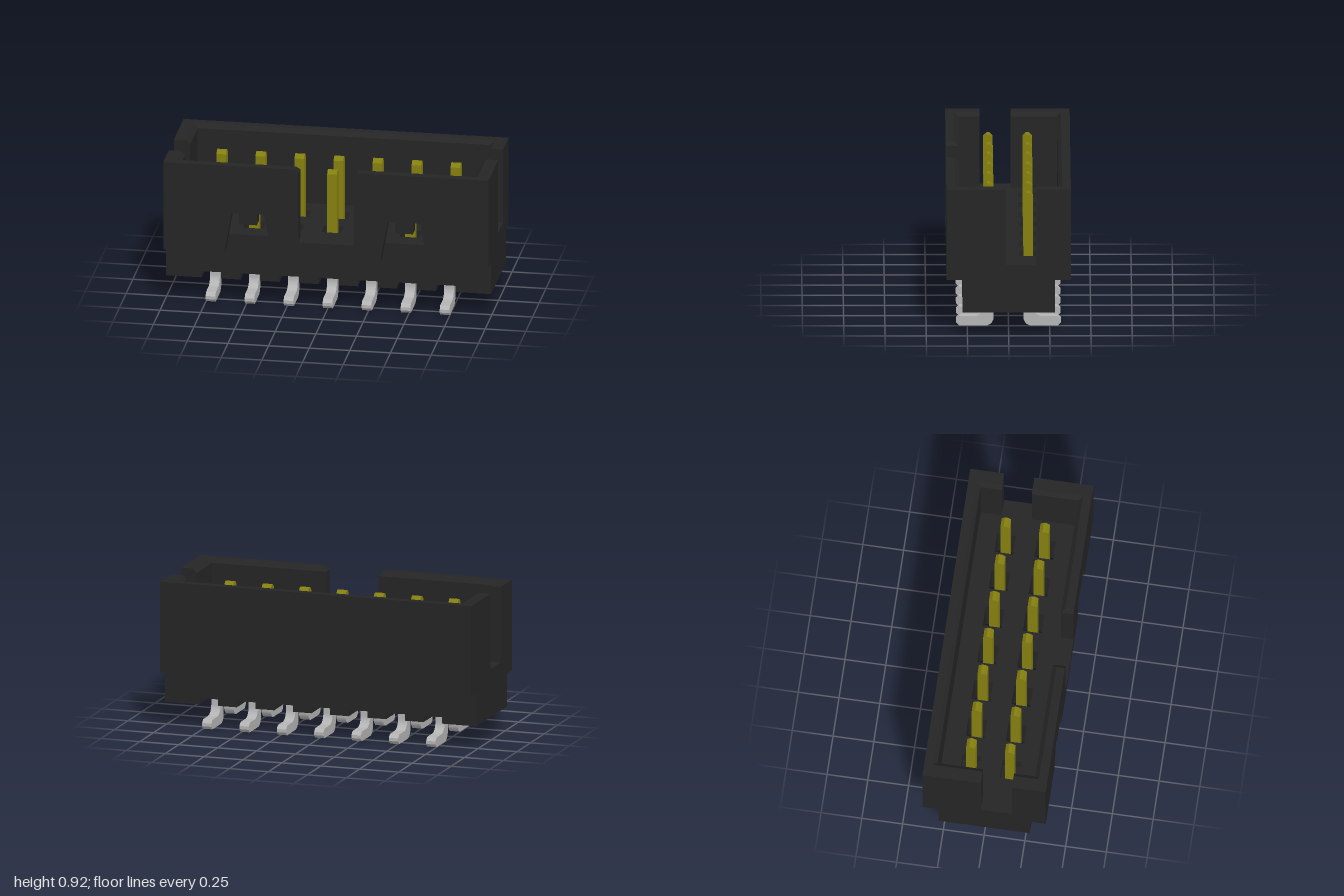
import * as THREE from 'three';

const black = new THREE.MeshStandardMaterial({ color: 0x252525 });
black.name = 'black plastic';
const gold = new THREE.MeshStandardMaterial({ color: 0x85800f });
gold.name = 'gold plating';
const tin = new THREE.MeshStandardMaterial({ color: 0xb4b4b4 });
tin.name = 'tin plating';

const TOP = 0.915, RIM = 0.89, FLOOR = 0.445, STEP = 0.35, CHANNEL = 0.185, BOTTOM = 0.145;
const OUT_Z = 0.378, IN_Z = 0.3, IN_X = 0.9, BASE_Z = 0.28, BEVEL = 0.025;
const columns = Array.from({ length: 7 }, (_, i) => (i - 3) * 0.24);

export function createModel() {
  const model = new THREE.Group();
  const housing = new THREE.Group();
  housing.name = 'housing';
  model.add(housing);

  function add(parent, name, geometry, material) {
    const mesh = new THREE.Mesh(geometry, material);
    mesh.name = name;
    parent.add(mesh);
    return mesh;
  }

  // box given by its limits; the top corners may be pulled in for a bevel
  function block(name, [x0, x1], [y0, y1], [z0, z1], bevel = {}) {
    const { left = 0, right = 0, back = 0, front = 0 } = bevel;
    const g = new THREE.BoxGeometry(1, 1, 1).toNonIndexed();
    const p = g.attributes.position;
    for (let i = 0; i < p.count; i++) {
      const t = p.getY(i) > 0 ? 1 : 0;
      p.setXYZ(i,
        p.getX(i) > 0 ? x1 - right * t : x0 + left * t,
        t ? y1 : y0,
        p.getZ(i) > 0 ? z1 - front * t : z0 + back * t);
    }
    g.computeVertexNormals();
    return add(housing, name, g, black);
  }

  const rectangle = (x0, x1, y0, y1, Type = THREE.Shape) => new Type(
    [[x0, y0], [x1, y0], [x1, y1], [x0, y1]].map(([x, y]) => new THREE.Vector2(x, y)));

  // horizontal slab with a pair of pin holes in each listed column
  function slab(name, y0, y1, halfZ, holeColumns) {
    const shape = rectangle(-1, 1, -halfZ, halfZ);
    for (const x of holeColumns) {
      shape.holes.push(rectangle(x - 0.06, x + 0.06, 0.065, 0.18, THREE.Path));
      shape.holes.push(rectangle(x - 0.06, x + 0.06, -0.18, -0.065, THREE.Path));
    }
    const g = new THREE.ExtrudeGeometry(shape, { depth: y1 - y0, bevelEnabled: false });
    g.rotateX(-Math.PI / 2).translate(0, y0, 0);
    add(housing, name, g, black);
  }

  // floor: the first column is blind, the rest open to the underside
  slab('cavityFloor', STEP, FLOOR, IN_Z, columns);
  slab('base', CHANNEL, STEP, BASE_Z, columns.slice(1));

  // ribs between the channels on the underside
  for (let i = 0; i <= columns.length; i++) {
    const x0 = i === 0 ? -1 : columns[i - 1] + 0.06;
    const x1 = i === columns.length ? 1 : columns[i] - 0.06;
    block('baseRib', [x0, x1], [BOTTOM, CHANNEL], [-BASE_Z, BASE_Z]);
  }

  // front wall with key slot and two latch windows
  const half = [
    [0.335, STEP], [0.38, 0.61], [0.425, 0.61], [0.425, 0.54], [0.535, 0.54], [0.535, 0.61],
    [0.58, 0.61], [0.625, STEP], [1, STEP], [1, RIM], [0.17, RIM], [0.17, FLOOR],
  ];
  const outline = [...half, ...half.map(([x, y]) => [-x, y]).reverse()];
  const frontShape = new THREE.Shape(outline.map(([x, y]) => new THREE.Vector2(x, y)));
  const frontWall = new THREE.ExtrudeGeometry(frontShape, { depth: OUT_Z - IN_Z, bevelEnabled: false });
  add(housing, 'frontWall', frontWall.translate(0, 0, IN_Z), black);
  block('frontRimLeft', [0.17, 1], [RIM, TOP], [IN_Z, OUT_Z], { left: 0.02, back: BEVEL });
  block('frontRimRight', [-1, -0.17], [RIM, TOP], [IN_Z, OUT_Z], { right: 0.02, back: BEVEL });

  // back wall
  block('backWall', [-1, 1], [STEP, RIM], [-OUT_Z, -IN_Z]);
  block('backRim', [-1, 1], [RIM, TOP], [-OUT_Z, -IN_Z], { front: BEVEL });

  // end walls, each with a slot offset from the middle
  const E = 0.34;
  for (const [z0, z1] of [[-E, -0.17], [0.015, E]]) {
    block('leftWall', [IN_X, 1], [FLOOR, RIM], [z0, z1]);
    block('leftRim', [IN_X, 1], [RIM, TOP], [z0, z1], { left: BEVEL });
  }
  for (const [z0, z1] of [[-E, -0.02], [0.17, E]]) {
    block('rightWall', [-1, -IN_X], [FLOOR, RIM], [z0, z1]);
    block('rightRim', [-1, -IN_X], [RIM, TOP], [z0, z1], { right: BEVEL });
  }

  // pin profiles in the z-y plane
  const Z0 = 0.09, Z1 = 0.148, W = 0.06;
  const post = new THREE.Shape([
    [Z0, CHANNEL], [Z1, CHANNEL], [Z1, 0.81], [Z1 - 0.02, 0.83], [Z0 + 0.02, 0.83], [Z0, 0.81],
  ].map(([z, y]) => new THREE.Vector2(z, y)));

  const foot = new THREE.Shape();
  foot.moveTo(Z0, CHANNEL);
  foot.lineTo(Z0, 0.055);
  foot.absarc(Z0 + 0.055, 0.055, 0.055, Math.PI, Math.PI * 1.5, false);
  foot.lineTo(0.298, 0);
  foot.lineTo(0.318, 0.02);
  foot.lineTo(0.318, 0.04);
  foot.lineTo(0.298, 0.06);
  foot.lineTo(Z1 + 0.06, 0.06);
  foot.absarc(Z1 + 0.06, 0.12, 0.06, Math.PI * 1.5, Math.PI, true);
  foot.lineTo(Z1, CHANNEL);

  const sweep = (shape) => new THREE.ExtrudeGeometry(shape, { depth: W, bevelEnabled: false, curveSegments: 6 })
    .rotateY(-Math.PI / 2).translate(W / 2, 0, 0);
  const postGeometry = sweep(post), footGeometry = sweep(foot);

  // two mirrored rows of pins
  for (const x of columns) {
    for (const turn of [0, Math.PI]) {
      const pin = new THREE.Group();
      pin.name = turn ? 'backPin' : 'frontPin';
      add(pin, 'post', postGeometry, gold);
      add(pin, 'foot', footGeometry, tin);
      pin.position.x = x;
      pin.rotation.y = turn;
      model.add(pin);
    }
  }
  return model;
}
